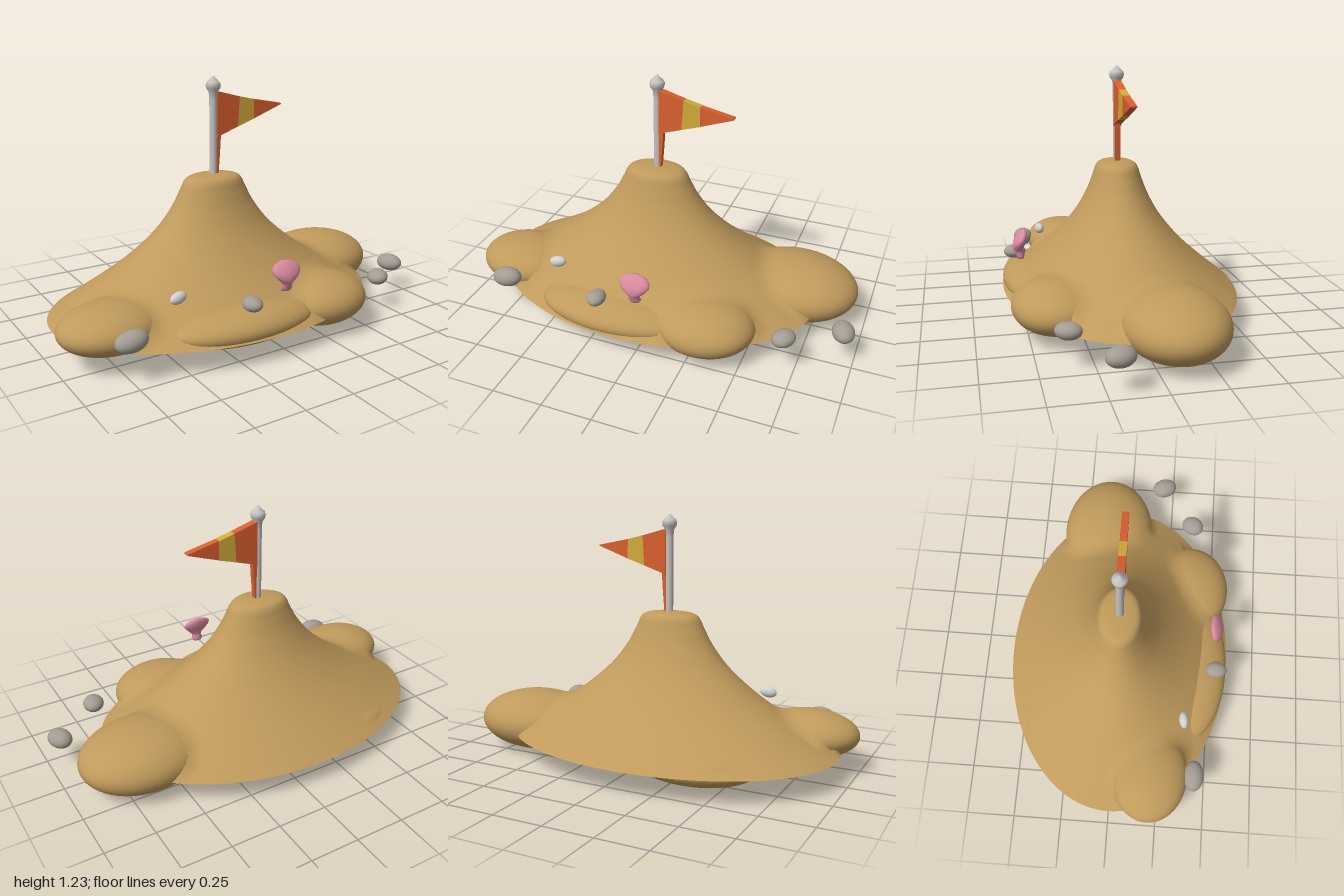
import * as THREE from 'three';

const mat = (name, color, side = THREE.FrontSide) => {
  const m = new THREE.MeshStandardMaterial({ color, side });
  m.name = name;
  return m;
};

export function createModel() {
  const sand = mat('sand', 0xc09a5c);
  const stone = mat('stone', 0xa39c93);
  const paleStone = mat('pale stone', 0xd2d1cf);
  const metal = mat('pole grey', 0xc4c1be);
  const orange = mat('flag orange', 0xd9602f);
  const yellow = mat('flag yellow', 0xd2ab3a);
  const pink = mat('shell pink', 0xd88aa0);

  const model = new THREE.Group();
  const add = (name, geo, material, pos = [0, 0, 0], scale = [1, 1, 1], rot = [0, 0, 0]) => {
    const m = new THREE.Mesh(geo, material);
    m.name = name;
    m.position.set(...pos);
    m.scale.set(...scale);
    m.rotation.set(...rot);
    model.add(m);
    return m;
  };
  const v2 = (list) => list.map(([x, y]) => new THREE.Vector2(x, y));

  // Sand lobes around and below the mound: centre, radii
  const lobes = [
    ['rightLobe', [0.63, 0.153, -0.115], [0.32, 0.152, 0.25]],
    ['leftLobe', [-0.75, 0.18, 0.2], [0.25, 0.113, 0.2]],
    ['frontLobe', [0.3, 0.155, 0.37], [0.25, 0.125, 0.21]],
    ['frontBank', [-0.15, 0.15, 0.395], [0.4, 0.095, 0.19]],
    ['underLobe', [-0.36, 0.12, -0.3], [0.32, 0.095, 0.21]],
  ];
  const ball = new THREE.SphereGeometry(1, 48, 32);
  lobes.forEach(([name, c, r]) => add(name, ball, sand, c, r));

  // Mound: elliptical turned slope, softly raised where it meets the lobes
  const cx = -0.09, sx = 1.46, rim = 0.59;
  const slope = new THREE.SplineCurve(v2([
    [rim, 0.12], [0.49, 0.2], [0.37, 0.305], [0.28, 0.4], [0.205, 0.5], [0.152, 0.6],
    [0.122, 0.68], [0.105, 0.73], [0.085, 0.751], [0.045, 0.76], [0, 0.762],
  ])).getPoints(70);
  slope[slope.length - 1].x = 0;
  const mound = new THREE.LatheGeometry(slope, 96);
  const p = mound.attributes.position;
  const blend = 0.05;
  for (let i = 0; i < p.count; i++) {
    const x = p.getX(i) * sx + cx, z = p.getZ(i);
    const fade = Math.min(1, (rim - Math.hypot(p.getX(i), z)) / 0.06);
    let y = p.getY(i);
    for (const [, c, r] of lobes.slice(0, 3)) {
      const d = 1 - ((x - c[0]) / r[0]) ** 2 - ((z - c[2]) / r[2]) ** 2;
      if (d <= 0) continue;
      const top = c[1] + r[1] * Math.sqrt(d);
      const k = Math.max(0, blend - Math.abs(top - y)) / blend;
      y += fade * (Math.max(y, top) - y + k * k * blend * 0.25) * 0.98;
    }
    p.setY(i, y);
  }
  mound.computeVertexNormals();
  add('mound', mound, sand, [cx, 0, 0], [sx, 1, 1]);
  add('moundUnderside', new THREE.LatheGeometry(v2([[0, 0.105], [0.3, 0.1], [0.54, 0.108], [rim, 0.12]]), 96),
    sand, [cx, 0, 0], [sx, 1, 1]);

  // Flag pole with onion finial
  add('pole', new THREE.CylinderGeometry(0.019, 0.019, 0.43, 24), metal, [-0.085, 0.955, 0]);
  add('finial', new THREE.LatheGeometry(v2([
    [0.019, 1.13], [0.022, 1.16], [0.034, 1.178], [0.037, 1.195], [0.033, 1.207], [0.016, 1.222], [0.007, 1.234], [0, 1.236],
  ]), 20), metal, [-0.085, 0, 0]);

  // Pennant in three bands, with a tapering sleeve down the pole
  const panel = (name, pts, material, depth) => {
    const geo = new THREE.ExtrudeGeometry(new THREE.Shape(v2(pts)), { depth, bevelEnabled: false });
    add(name, geo, material, [0, 0, -depth / 2]);
  };
  panel('flagInner', [[-0.072, 0.935], [-0.05, 0.95], [0.045, 0.982], [0.055, 1.13], [-0.072, 1.165]], orange, 0.038);
  panel('flagStripe', [[0.045, 0.982], [0.14, 1.013], [0.137, 1.11], [0.055, 1.13]], yellow, 0.038);
  panel('flagTip', [[0.14, 1.013], [0.302, 1.071], [0.302, 1.077], [0.137, 1.11]], orange, 0.034);
  panel('flagSleeve', [[-0.075, 0.76], [-0.064, 0.76], [-0.055, 0.87], [-0.05, 0.95], [-0.075, 0.95]], orange, 0.028);

  // Pebbles
  [
    ['pebbleLeft', stone, [-0.75, 0.2, 0.43], [0.078, 0.049, 0.053], [0, 0, 0.12]],
    ['pebbleFront', stone, [-0.195, 0.279, 0.52], [0.044, 0.034, 0.056], [0, 0, 0]],
    ['pebblePale', paleStone, [-0.485, 0.315, 0.36], [0.043, 0.028, 0.024], [0, 0.15, 0.15]],
    ['pebbleRight', stone, [0.69, 0.18, 0.368], [0.053, 0.039, 0.062], [0, -0.5, 0.1]],
    ['pebbleFarRight', stone, [0.937, 0.157, 0.192], [0.054, 0.045, 0.069], [0, 0.35, 0]],
  ].forEach(([name, m, pos, r, rot]) => add(name, ball, m, pos, r, rot));

  // Curved fan shell: half width, height, half depth, centre z
  const rings = [
    [0, 0.296, 0, 0.505], [0.024, 0.301, 0.016, 0.505], [0.032, 0.315, 0.021, 0.506], [0.024, 0.33, 0.019, 0.511],
    [0.03, 0.344, 0.024, 0.515], [0.055, 0.365, 0.03, 0.515], [0.074, 0.388, 0.031, 0.508],
    [0.074, 0.408, 0.028, 0.5], [0.058, 0.427, 0.021, 0.492], [0.025, 0.438, 0.011, 0.486], [0, 0.441, 0, 0.485],
  ];
  const shell = new THREE.LatheGeometry(v2(rings), 32);
  const s = shell.attributes.position;
  for (let i = 0; i < s.count; i++) {
    const [w, , d, z] = rings[i % rings.length];
    s.setZ(i, (w ? s.getZ(i) / w * d : 0) + z);
  }
  shell.computeVertexNormals();
  add('shell', shell, pink);

  return model;
}
